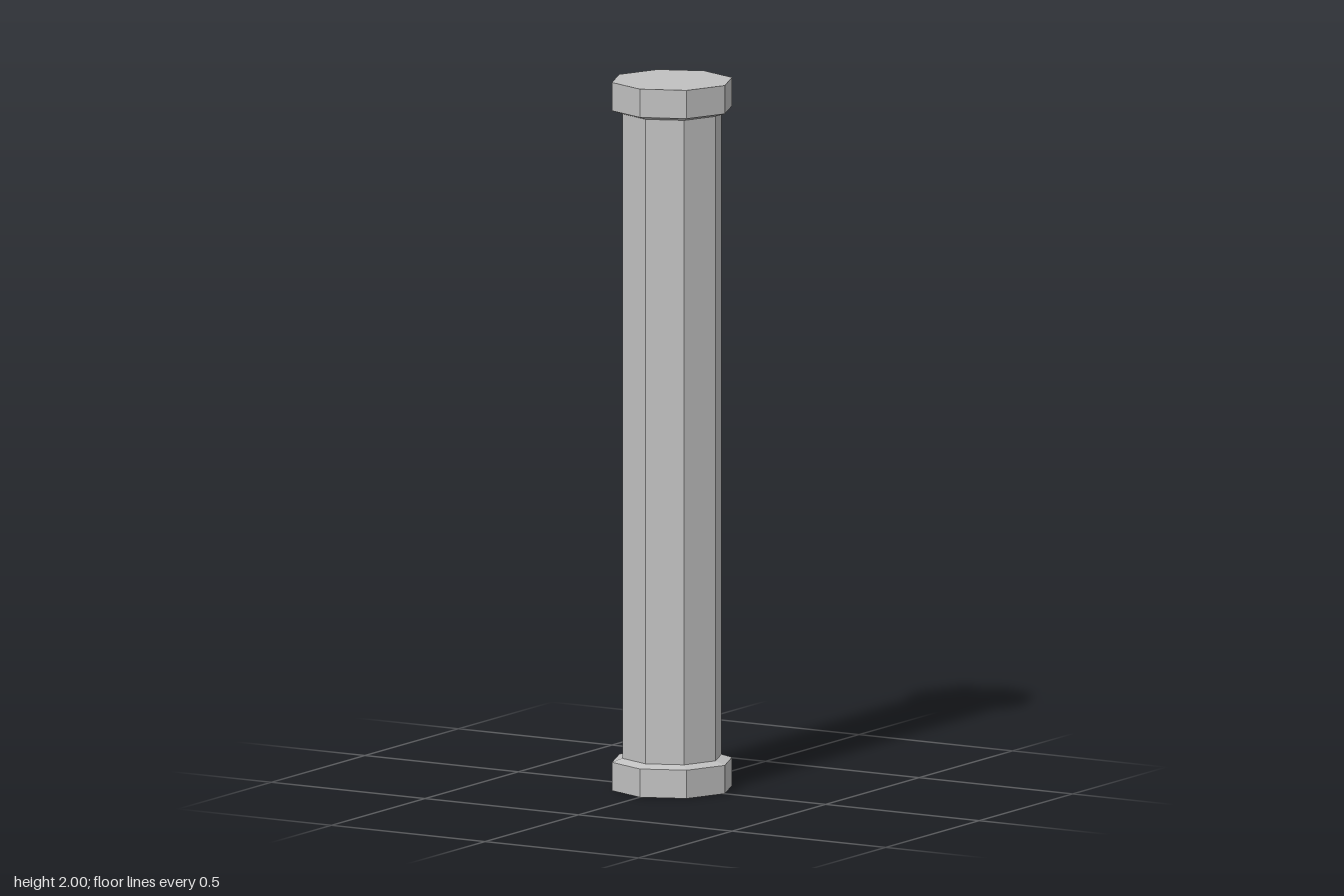
import * as THREE from 'three';

const SIDES = 8;
const HEIGHT = 2;
const CAP_R = 0.172, SHAFT_R = 0.142;
const BAND_H = 0.08, BEVEL_H = 0.01;

export function createModel() {
  const group = new THREE.Group();
  group.name = 'pillar';
  const stone = new THREE.MeshStandardMaterial({ color: 0xc0c0c0, flatShading: true });
  stone.name = 'grey stone';

  // Octagonal part turned from a bottom-to-top profile of [radius, y]
  const turned = (name, profile) => {
    const points = profile.map(([r, y]) => new THREE.Vector2(r, y));
    const mesh = new THREE.Mesh(new THREE.LatheGeometry(points, SIDES), stone);
    mesh.name = name;
    group.add(mesh);
  };

  const inner = BAND_H + BEVEL_H;

  // Foot block with a shallow sloped ledge up to the shaft
  turned('base', [[0, 0], [CAP_R, 0], [CAP_R, BAND_H], [SHAFT_R, inner]]);
  // Straight shaft
  turned('shaft', [[SHAFT_R, inner], [SHAFT_R, HEIGHT - inner]]);
  // Top block, mirroring the foot
  turned('capital', [[SHAFT_R, HEIGHT - inner], [CAP_R, HEIGHT - BAND_H], [CAP_R, HEIGHT], [0, HEIGHT]]);

  return group;
}
